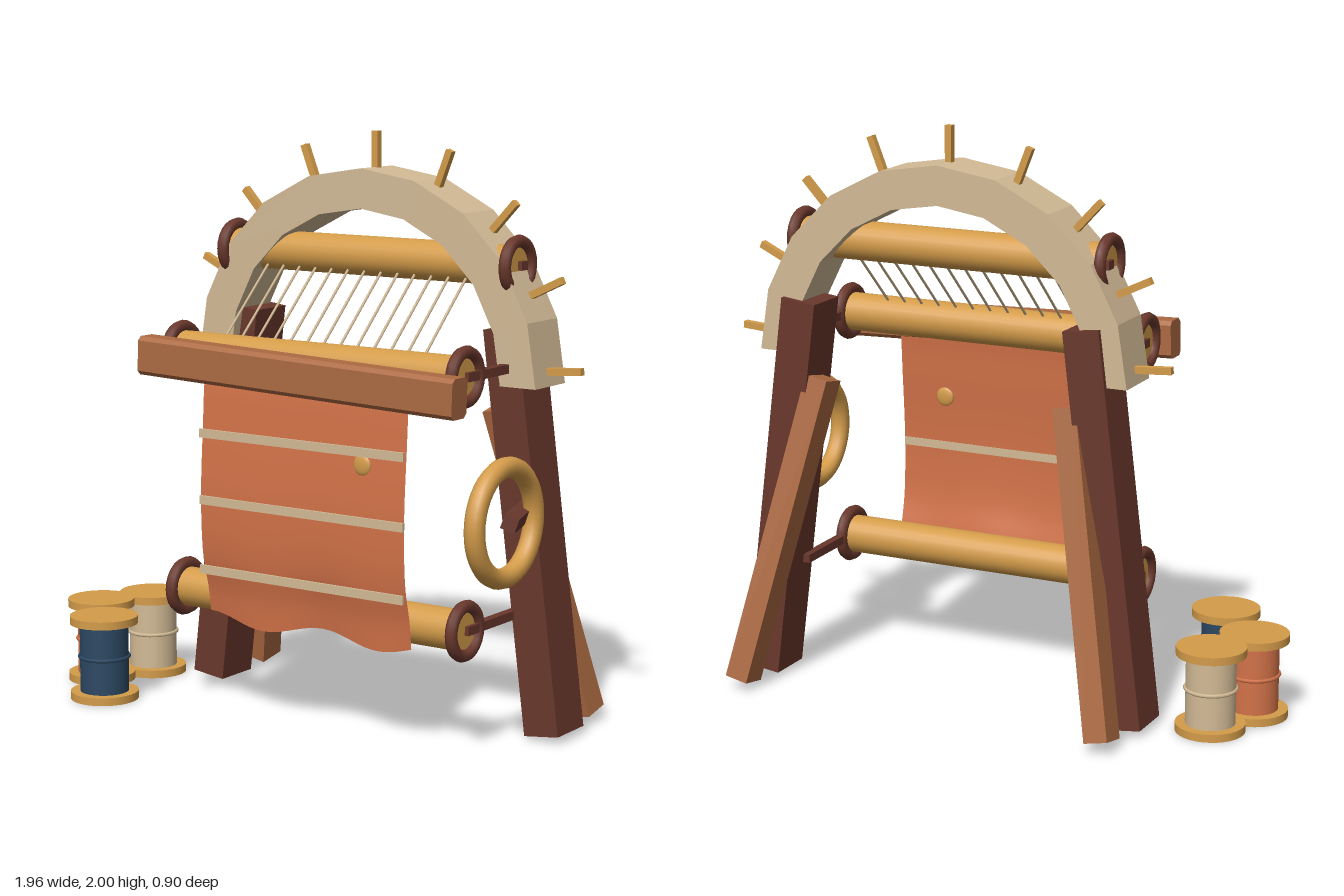
import * as THREE from 'three';

const mat = (name, color, side = THREE.FrontSide) => {
  const m = new THREE.MeshStandardMaterial({ color, side });
  m.name = name;
  return m;
};

export function createModel() {
  const darkWood = mat('dark wood', 0x6a382c);
  const brownWood = mat('brown wood', 0xac6a42);
  const ochre = mat('ochre wood', 0xd49c4a);
  const cream = mat('cream', 0xd3bb96);
  const terracotta = mat('terracotta cloth', 0xd27248, THREE.DoubleSide);
  const blue = mat('blue yarn', 0x2c4863);

  const root = new THREE.Group();
  root.name = 'loom';
  const CX = 0.16; // loom centre line
  const V = (x, y, z) => new THREE.Vector3(x, y, z);

  const add = (name, geo, material, x = 0, y = 0, z = 0, parent = root) => {
    const m = new THREE.Mesh(geo, material);
    m.name = name;
    m.position.set(x, y, z);
    parent.add(m);
    return m;
  };
  // Place a y-aligned geometry so it runs from a to b
  const span = (name, make, material, a, b) => {
    const dir = b.clone().sub(a);
    const m = add(name, make(dir.length()), material);
    m.position.copy(a).add(b).multiplyScalar(0.5);
    m.quaternion.setFromUnitVectors(V(0, 1, 0), dir.normalize());
    return m;
  };
  const bar = (name, material, a, b, w, d) =>
    span(name, (l) => new THREE.BoxGeometry(w, l, d), material, a, b);

  // Splayed legs with rear braces
  for (const s of [-1, 1]) {
    bar('leg', darkWood, V(CX + s * 0.7, 0.02, -0.163), V(CX + s * 0.53, 1.375, -0.15), 0.13, 0.17);
    bar('brace', brownWood, V(CX + s * 0.69, 0.035, -0.395), V(CX + s * 0.47, 1.1, -0.175), 0.085, 0.105);
  }

  // Faceted arch
  const outer = [], inner = [];
  for (let i = 0; i <= 10; i++) {
    const a = (i / 10) * Math.PI;
    outer.push(new THREE.Vector2(Math.cos(a) * 0.69, Math.sin(a) * 0.69));
    inner.unshift(new THREE.Vector2(Math.cos(a) * 0.555, Math.sin(a) * 0.555));
  }
  add('arch', new THREE.ExtrudeGeometry(new THREE.Shape([...outer, ...inner]),
    { depth: 0.19, bevelEnabled: false }), cream, CX, 1.19, -0.218);

  // Radial pegs
  for (let i = -4; i <= 4; i++) {
    const a = Math.PI / 2 + i * 0.375;
    const p = (r) => V(CX + Math.cos(a) * r, 1.19 + Math.sin(a) * r, -0.122);
    bar('peg', ochre, p(0.66), p(0.812), 0.024, 0.024);
  }

  // Rollers with end rings and brackets
  for (const [y, z] of [[1.58, -0.1], [1.25, 0.215], [0.418, 0.203]]) {
    const roller = add('roller', new THREE.CylinderGeometry(0.068, 0.068, 1.15, 24), ochre, CX, y, z);
    roller.rotation.z = Math.PI / 2;
    for (const s of [-1, 1]) {
      const x = CX + s * 0.575;
      const ring = add('rollerRing', new THREE.TorusGeometry(0.082, 0.021, 8, 24), darkWood, x, y, z);
      ring.rotation.y = Math.PI / 2;
      bar('rollerBracket', darkWood, V(x, y, z), V(x, y, -0.14), 0.03, 0.03);
    }
  }

  // Chamfered front beam, slightly tilted
  const h = 0.066, d = 0.044, c = 0.014;
  const section = new THREE.Shape([[d, c - h], [d, h - c], [d - c, h], [c - d, h],
    [-d, h - c], [-d, c - h], [c - d, -h], [d - c, -h]].map(([x, y]) => new THREE.Vector2(x, y)));
  const beamGeo = new THREE.ExtrudeGeometry(section, { depth: 1.268, bevelEnabled: false });
  beamGeo.translate(0, 0, -0.634);
  beamGeo.rotateY(Math.PI / 2);
  add('frontBeam', beamGeo, brownWood, CX, 1.222, 0.34).rotation.z = -0.033;

  // Warp threads
  for (let i = 0; i < 13; i++) {
    const x = -0.245 + i * 0.0675;
    span('warpThread', (l) => new THREE.CylinderGeometry(0.0045, 0.0045, l, 6), cream,
      V(x, 1.54, -0.06), V(x, 1.31, 0.185));
  }

  // Hanging cloth with a rippled hem
  const clothZ = new THREE.CatmullRomCurve3([V(0, 1.31, 0.245), V(0, 1.22, 0.287), V(0, 1.0, 0.308),
    V(0, 0.76, 0.321), V(0, 0.56, 0.312), V(0, 0.44, 0.286), V(0, 0.345, 0.275)]);
  const cloth = new THREE.PlaneGeometry(0.83, 1, 32, 28);
  const pos = cloth.attributes.position;
  for (let i = 0; i < pos.count; i++) {
    const x = pos.getX(i) + CX;
    const t = 0.5 - pos.getY(i);
    const p = clothZ.getPoint(t);
    const wave = Math.cos(((x + 0.02) / 0.47) * Math.PI * 2) * t ** 3;
    pos.setXYZ(i, x, p.y - 0.02 * wave, p.z + 0.007 * wave);
  }
  cloth.computeVertexNormals();
  add('cloth', cloth, terracotta);

  // Woven stripes and a small patch
  for (const y of [0.99, 0.76, 0.52])
    add('clothStripe', new THREE.BoxGeometry(0.83, 0.03, 0.009), cream, CX, y, 0.324);
  add('clothPatch', new THREE.SphereGeometry(0.035, 12, 8), ochre, 0.405, 0.945, 0.312).scale.z = 0.28;

  // Side hoop on a slanted arm
  bar('hoopArm', darkWood, V(0.795, 0.79, -0.1), V(0.895, 0.79, 0.195), 0.05, 0.05);
  add('hoop', new THREE.TorusGeometry(0.18, 0.034, 12, 40), ochre, 0.876, 0.79, 0.195).rotation.y = Math.PI / 2;

  // Yarn spools
  const orangeYarn = terracotta;
  for (const [x, z, yarn] of [[-0.784, -0.063, cream], [-0.865, 0.132, orangeYarn], [-0.684, 0.332, blue]]) {
    const spool = new THREE.Group();
    spool.name = 'spool';
    spool.position.set(x, 0, z);
    root.add(spool);
    for (const y of [0.015, 0.286])
      add('spoolFlange', new THREE.CylinderGeometry(0.12, 0.12, 0.028, 32), ochre, 0, y, 0, spool);
    add('spoolYarn', new THREE.CylinderGeometry(0.086, 0.086, 0.245, 24), yarn, 0, 0.15, 0, spool);
    add('spoolBand', new THREE.TorusGeometry(0.087, 0.007, 6, 24), yarn, 0, 0.153, 0, spool).rotation.x = Math.PI / 2;
  }
  return root;
}
